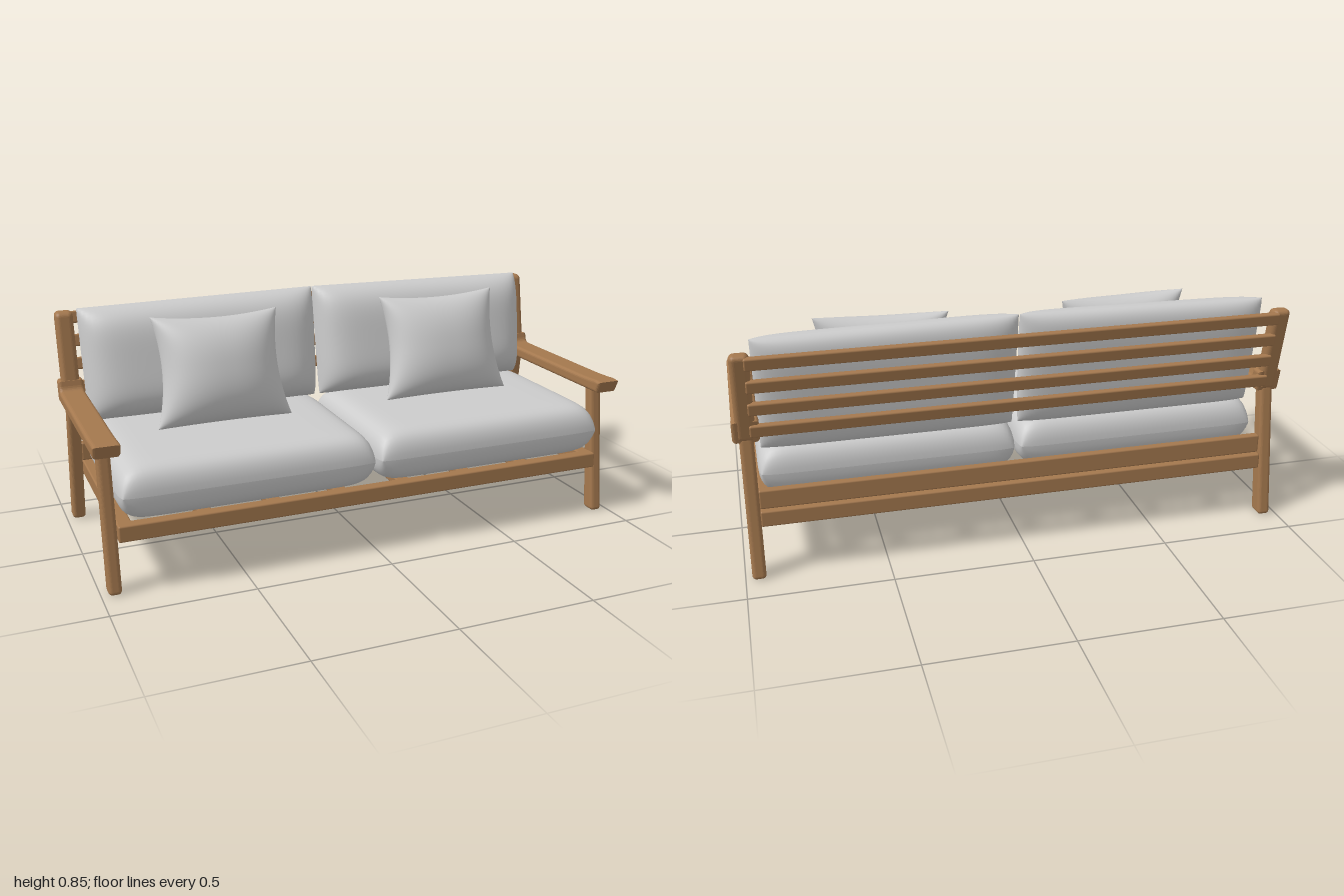
import * as THREE from 'three';
import { RoundedBoxGeometry } from 'three/addons/geometries/RoundedBoxGeometry.js';
import { mergeGeometries } from 'three/addons/utils/BufferGeometryUtils.js';

const wood = new THREE.MeshStandardMaterial({ color: 0xa4784e });
wood.name = 'wood';
const fabric = new THREE.MeshStandardMaterial({ color: 0xcccccc });
fabric.name = 'fabric';

// Stuffed shape made of two domed sheets that meet in a seam; place(u, v, side) gives each point
function stuffed(place, seg = 36) {
  const sheets = [1, -1].map((side) => {
    const g = new THREE.PlaneGeometry(2, 2, seg, seg);
    const p = g.attributes.position;
    for (let i = 0; i < p.count; i++) {
      // rows crowd together towards the seam
      const u = Math.sin(p.getX(i) * Math.PI / 2);
      const v = Math.sin(p.getY(i) * Math.PI / 2);
      p.setXYZ(i, ...place(u, v, side));
    }
    if (side < 0) g.index.array.reverse();
    g.computeVertexNormals();
    return g;
  });
  return mergeGeometries(sheets);
}

const dome = (t, n) => Math.sqrt(Math.max(0, 1 - Math.abs(t) ** n));

export function createModel() {
  const sofa = new THREE.Group();
  sofa.name = 'sofa';

  const add = (name, geometry, material, x = 0, y = 0, z = 0) => {
    const mesh = new THREE.Mesh(geometry, material);
    mesh.name = name;
    mesh.position.set(x, y, z);
    sofa.add(mesh);
    return mesh;
  };

  const beam = (name, w, h, d, x, y, z, r = 0.006) =>
    add(name, new RoundedBoxGeometry(w, h, d, 3, r), wood, x, y, z);

  // Slanted, tapered upright: z centre and depth run from bottom to top
  function upright(name, x, w, y0, y1, z0, z1, d0, d1, r) {
    const h = y1 - y0;
    const g = new RoundedBoxGeometry(w, h, d0, 4, r);
    const p = g.attributes.position;
    for (let i = 0; i < p.count; i++) {
      const t = p.getY(i) / h + 0.5;
      p.setZ(i, p.getZ(i) * THREE.MathUtils.lerp(1, d1 / d0, t) + THREE.MathUtils.lerp(z0, z1, t));
    }
    g.computeVertexNormals();
    add(name, g, wood, x, (y0 + y1) / 2, 0);
  }

  // Armrest side profile (z, y), with a lifted nose and a fillet into the back post
  const b = 0.012;
  const profile = new THREE.Shape();
  profile.moveTo(0.365, 0.503);
  profile.lineTo(0.378, 0.528);
  profile.lineTo(0.36, 0.528);
  profile.quadraticCurveTo(0.3, 0.523, 0.24, 0.523);
  profile.lineTo(-0.255, 0.523);
  profile.quadraticCurveTo(-0.285, 0.525, -0.29, 0.56);
  profile.lineTo(-0.318, 0.56);
  profile.lineTo(-0.305, 0.502);
  profile.closePath();
  const armDepth = 0.092 - 2 * b;
  const arm = new THREE.ExtrudeGeometry(profile, {
    depth: armDepth, bevelEnabled: true, bevelSize: b, bevelThickness: b, bevelSegments: 4, curveSegments: 6,
  });
  arm.translate(0, 0, -armDepth / 2);
  arm.rotateY(-Math.PI / 2);

  for (const s of [1, -1]) {
    const side = s > 0 ? 'left' : 'right';
    add(side + 'Armrest', arm, wood, s * 0.953, 0, 0);
    upright(side + 'FrontLeg', s * 0.953, 0.046, 0, 0.51, 0.342, 0.286, 0.06, 0.044, 0.014);
    upright(side + 'RearLeg', s * 0.953, 0.048, 0, 0.51, -0.36, -0.29, 0.064, 0.05, 0.014);
    upright(side + 'BackPost', s * 0.953, 0.066, 0.49, 0.82, -0.294, -0.354, 0.048, 0.058, 0.018);
    beam(side + 'SideRail', 0.05, 0.058, 0.71, s * 0.903, 0.214, 0.005);
  }

  // Seat frame
  beam('frontRail', 1.86, 0.058, 0.045, 0, 0.214, 0.343);
  beam('rearRail', 1.86, 0.058, 0.045, 0, 0.214, -0.333);
  beam('rearBoard', 1.86, 0.07, 0.03, 0, 0.279, -0.322);
  for (let i = 0; i < 6; i++) {
    beam('seatSlat', 0.05, 0.03, 0.66, -0.625 + i * 0.25, 0.225, 0.005);
  }

  // Back slats following the lean of the posts
  for (const y of [0.79, 0.705, 0.62, 0.535]) {
    beam('backSlat', 1.88, 0.045, 0.024, 0, y, -0.317 - 0.19 * (y - 0.5)).rotation.x = -0.186;
  }

  // Seat cushions: flat and boxy with a seam halfway up
  const seat = stuffed((u, v, side) => [
    0.46 * u * (1 - 0.025 * v ** 12),
    0.338 * v * (1 - 0.025 * u ** 12),
    side * 0.1 * dome(u, 15) * dome(v, 11),
  ]);
  seat.rotateX(-Math.PI / 2);

  // Back cushions: fuller in front, slimmer towards the top
  const back = (s) => stuffed((u, v, side) => [
    0.457 * u * (1 - 0.01 * (1 - v)),
    0.212 * v - (v > 0 ? s * 0.006 * u * v : 0),
    side > 0
      ? 0.122 * dome(u, 8) * dome(v, 4.5) * (1 - 0.12 * v)
      : -0.05 * dome(u, 8) * dome(v, 6),
  ]);

  // Throw pillows: pinched corners with hollow edges
  const throwPillow = (t) => stuffed((u, v, side) => [
    0.248 * u * (1 - 0.13 * (1 - v * v)) * (1 - 0.03 * v),
    0.2 * v * (1 - (v > 0 ? 0.09 : 0.02) * (1 - u * u)),
    side * t * dome(u, 2.4) * dome(v, 2.4),
  ]);

  for (const s of [1, -1]) {
    const side = s > 0 ? 'left' : 'right';
    add(side + 'SeatCushion', seat, fabric, s * 0.463, 0.345, 0.053);
    add(side + 'BackCushion', back(s), fabric, s * 0.459, 0.637, -0.254).rotation.x = -0.13;
    const pillow = add(side + 'ThrowPillow', throwPillow(s > 0 ? 0.1 : 0.115), fabric, s * 0.453, 0.638, s > 0 ? -0.035 : -0.025);
    pillow.rotation.set(-0.3, s * -0.04, 0);
  }

  return sofa;
}
